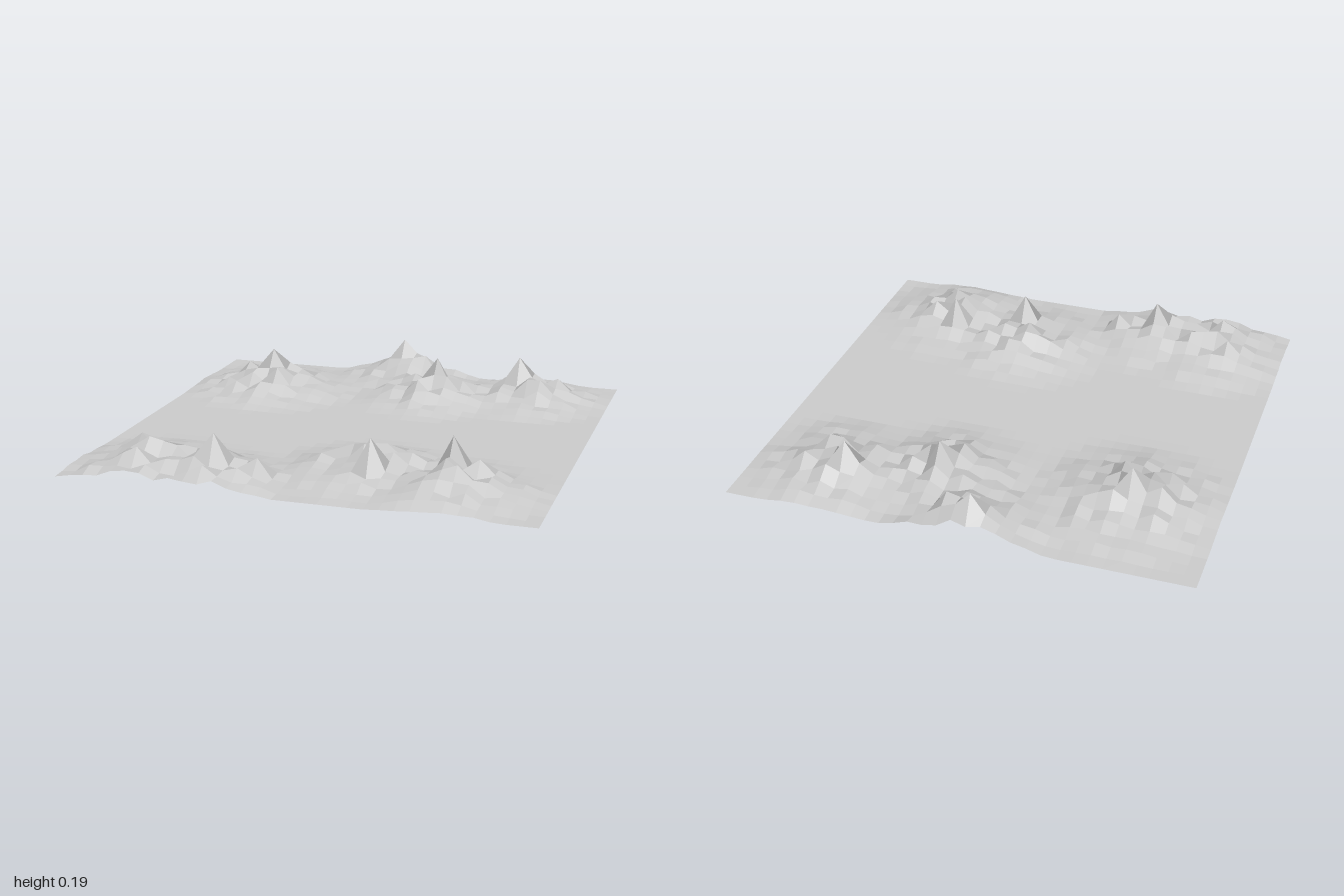
import * as THREE from 'three';

const CELLS = 32;

// Small seeded generator for the rocky roughness
function seeded(seed) {
  let s = seed;
  return () => {
    s = (s * 16807) % 2147483647;
    return s / 2147483647;
  };
}

// Mountains: centre x, centre z, radius
const mountains = [
  [-0.62, -0.54, 0.44], [-0.04, -0.9, 0.38], [0.17, -0.6, 0.4], [0.62, -0.7, 0.39],
  [-0.38, 0.82, 0.36], [-0.66, 0.78, 0.42], [0.2, 0.57, 0.41], [0.6, 0.69, 0.41],
];

// Summits and lesser crags: x, z, height
const peaks = [
  [-0.625, -0.5625, 0.19], [-0.0625, -0.9375, 0.19], [0.1875, -0.625, 0.19],
  [0.5625, -0.75, 0.19], [-0.375, 0.8125, 0.19], [0.25, 0.6875, 0.19], [0.5625, 0.5625, 0.19],
  [-0.75, -0.5625, 0.12], [-0.5625, -0.4375, 0.13], [-0.6875, -0.4375, 0.1],
  [0.0625, -0.875, 0.13], [0.125, -0.5, 0.11], [0.25, -0.5625, 0.12],
  [0.6875, -0.625, 0.12], [0.75, -0.75, 0.1], [-0.75, 0.6875, 0.12],
  [-0.6875, 0.875, 0.12], [-0.5625, 0.75, 0.1], [-0.1875, 0.8125, 0.1],
  [0.1875, 0.5625, 0.12], [0.375, 0.5, 0.08], [0.625, 0.75, 0.13], [0.6875, 0.625, 0.12],
];

function heightAt(x, z, roughness) {
  const peak = peaks.find(([px, pz]) => Math.hypot(x - px, z - pz) < 0.01);
  if (peak) return peak[2];
  let h = 0;
  for (const [mx, mz, r] of mountains) {
    const t = Math.max(0, 1 - Math.hypot(x - mx, z - mz) / r);
    h = Math.max(h, 0.16 * Math.pow(t, 1.3));
  }
  return h * (0.4 + 0.6 * roughness);
}

export function createModel() {
  const group = new THREE.Group();
  group.name = 'mountainTerrain';

  // Square ground sheet raised into mountains
  const grid = new THREE.PlaneGeometry(2, 2, CELLS, CELLS).rotateX(-Math.PI / 2);
  const random = seeded(4711);
  const points = grid.attributes.position;
  for (let i = 0; i < points.count; i++) {
    points.setY(i, heightAt(points.getX(i), points.getZ(i), random()));
  }

  // One flat facet per grid square: both triangles share the normal of its diagonals
  const geometry = grid.toNonIndexed();
  const pos = geometry.attributes.position;
  const normals = geometry.attributes.normal;
  const corner = (i) => new THREE.Vector3().fromBufferAttribute(pos, i);
  for (let q = 0; q < pos.count; q += 6) {
    const [a, b, d, c] = [q, q + 1, q + 2, q + 4].map(corner);
    const n = c.sub(a).cross(d.sub(b)).normalize();
    for (let k = 0; k < 6; k++) normals.setXYZ(q + k, n.x, n.y, n.z);
  }

  const terrain = new THREE.Mesh(
    geometry,
    new THREE.MeshStandardMaterial({ color: 0xcccccc, side: THREE.DoubleSide })
  );
  terrain.name = 'terrain';
  group.add(terrain);
  return group;
}
